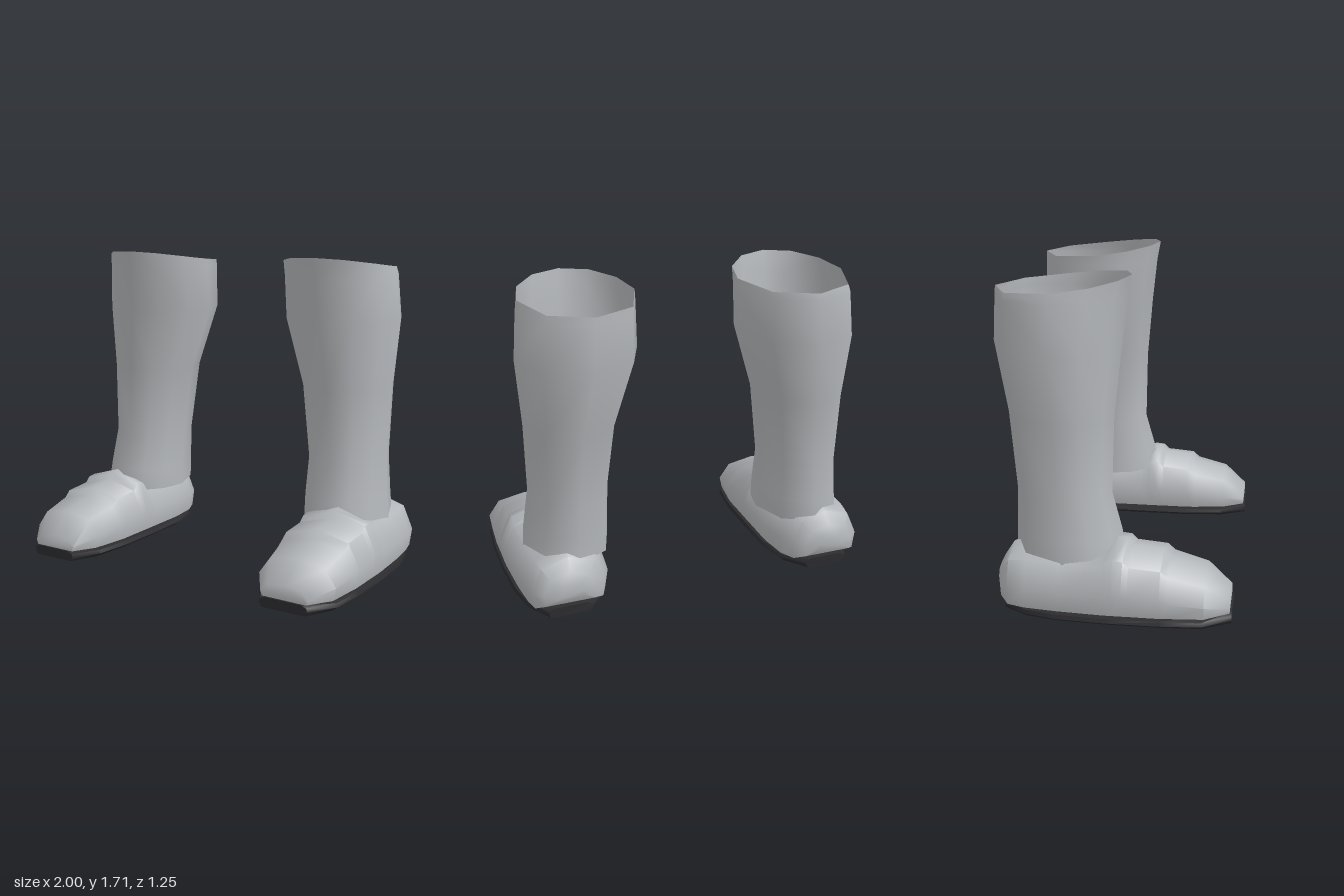
import * as THREE from 'three';
import { toCreasedNormals } from 'three/addons/utils/BufferGeometryUtils.js';

// Skin a row of equal-length rings of [x, y, z]; side = -1 mirrors across x
function loft(rings, side, capped) {
  const n = rings[0].length;
  const pos = [];
  const index = [];
  const tri = (a, b, c) => (side > 0 ? index.push(a, b, c) : index.push(a, c, b));
  rings.forEach(r => r.forEach(([x, y, z]) => pos.push(x * side, y, z)));
  for (let i = 0; i < rings.length - 1; i++) {
    for (let j = 0; j < n; j++) {
      const a = i * n + j, b = i * n + (j + 1) % n;
      tri(a, a + n, b);
      tri(b, a + n, b + n);
    }
  }
  if (capped) {
    const e = (rings.length - 1) * n;
    for (let j = 1; j < n - 1; j++) {
      tri(0, j, j + 1);
      tri(e, e + j + 1, e + j);
    }
  }
  const g = new THREE.BufferGeometry();
  g.setAttribute('position', new THREE.Float32BufferAttribute(pos, 3));
  g.setIndex(index);
  return toCreasedNormals(g, 0.95);
}

// Open shaft: [y, inner x, outer x, front z, back z]
const SHAFT = [
  [0.28, 0.45, 0.925, 0.06, -0.51],
  [0.4, 0.45, 0.91, 0.045, -0.51],
  [0.6, 0.45, 0.89, -0.01, -0.505],
  [1.0, 0.4, 0.9, 0.0, -0.545],
  [1.36, 0.285, 0.93, 0.035, -0.622],
  [1.6, 0.285, 0.908, 0.062, -0.612],
  [null, 0.285, 0.895, 0.082, -0.61]
];
// Rounder at the front, broader facets at the back
const ANGLES = [0, 30, 60, 90, 120, 150, 180, 225, 270, 315];

function shaftRings() {
  return SHAFT.map(([y, x0, x1, zf, zb]) => ANGLES.map(deg => {
    const a = deg * Math.PI / 180;
    const x = (x0 + x1) / 2 + Math.cos(a) * (x1 - x0) / 2;
    const z = (zf + zb) / 2 + Math.sin(a) * (zf - zb) / 2;
    // The rim rises toward the shin
    const rim = 1.635 + 0.07 * Math.pow(Math.max(0, (z + 0.61) / 0.69), 1.8);
    return [x, y === null ? rim : y, z];
  }));
}

// Foot: [z, centre x, half width, bottom y, top y], toe to heel
const FOOT = [
  [0.615, 0.745, 0.135, 0.055, 0.13],
  [0.49, 0.75, 0.22, 0.055, 0.24],
  [0.31, 0.745, 0.245, 0.055, 0.29],
  [0.27, 0.745, 0.25, 0.055, 0.33],
  [0.11, 0.745, 0.252, 0.055, 0.345],
  [0.08, 0.745, 0.253, 0.055, 0.38],
  [0.03, 0.745, 0.254, 0.055, 0.387],
  [-0.02, 0.745, 0.254, 0.055, 0.345],
  [-0.25, 0.738, 0.25, 0.055, 0.345],
  [-0.42, 0.74, 0.23, 0.055, 0.345],
  [-0.51, 0.75, 0.2, 0.06, 0.33],
  [-0.555, 0.755, 0.145, 0.085, 0.26],
  [-0.58, 0.755, 0.07, 0.13, 0.21]
];
const FOOT_SHAPE = [[0.93, 0], [1, 0.36], [0.72, 0.83], [0, 1], [-0.72, 0.83], [-1, 0.36], [-0.93, 0]];

// Sole: [z, centre x, half width]
const SOLE = [
  [0.625, 0.745, 0.137], [0.48, 0.75, 0.225], [0.27, 0.745, 0.25], [0, 0.745, 0.256],
  [-0.25, 0.74, 0.25], [-0.42, 0.74, 0.215], [-0.54, 0.75, 0.12]
];
const SOLE_SHAPE = [[0.88, 0], [1, 0.022], [0.97, 0.042], [0.75, 0.055], [-0.75, 0.055], [-0.97, 0.042], [-1, 0.022], [-0.88, 0]];

export function createModel() {
  const leather = new THREE.MeshStandardMaterial({ color: 0xb4b7ba, side: THREE.DoubleSide });
  leather.name = 'grey leather';
  const rubber = new THREE.MeshStandardMaterial({ color: 0x2c2c2f });
  rubber.name = 'dark rubber';

  const footRings = FOOT.map(([z, cx, w, y0, y1]) =>
    FOOT_SHAPE.map(([u, v]) => [cx + u * w, y0 + v * (y1 - y0), z]));
  const soleRings = SOLE.map(([z, cx, w]) => SOLE_SHAPE.map(([u, y]) => [cx + u * w, y, z]));

  const model = new THREE.Group();
  model.name = 'boots';
  for (const side of [1, -1]) {
    const boot = new THREE.Group();
    boot.name = side > 0 ? 'leftBoot' : 'rightBoot';
    const add = (name, rings, material, capped) => {
      const mesh = new THREE.Mesh(loft(rings, side, capped), material);
      mesh.name = name;
      boot.add(mesh);
    };
    add('shaft', shaftRings(), leather, false);
    add('foot', footRings, leather, true);
    add('sole', soleRings, rubber, true);
    model.add(boot);
  }
  return model;
}
